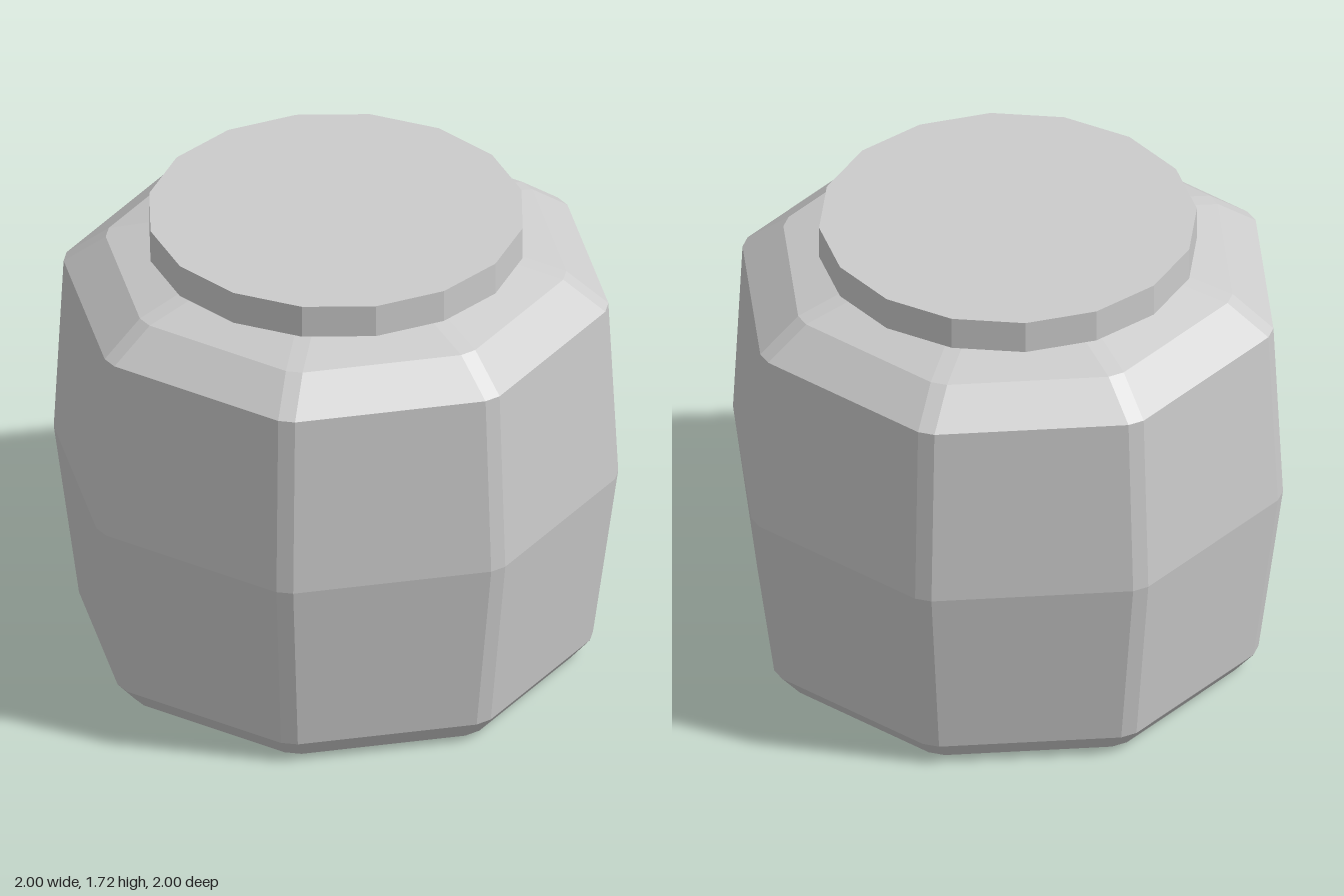
import * as THREE from 'three';

const material = new THREE.MeshStandardMaterial({ color: 0xcccccc, flatShading: true });

// Octagonal jar profile: [corner radius, height], bottom to top
const PROFILE = [[0.84, 0], [0.91, 0.08], [1, 0.75], [0.965, 1.43], [0.815, 1.545], [0.61, 1.6]];
const BEVEL = 0.03; // half width of the strip that cuts each corner

// Octagon ring with every corner split into two points
function ring([radius, y]) {
  const points = [];
  for (let k = 0; k < 8; k++) {
    const a = k * Math.PI / 4, c = Math.cos(a), s = Math.sin(a);
    for (const t of [-BEVEL, BEVEL]) points.push([radius * c - t * s, y, radius * s + t * c]);
  }
  return points;
}

function bodyGeometry() {
  const rings = PROFILE.map(ring);
  const n = rings[0].length;
  const positions = [];
  const tri = (...corners) => corners.forEach((p) => positions.push(...p));
  const bottom = rings[0], top = rings[rings.length - 1];
  for (let j = 0; j < n; j++) {
    const k = (j + 1) % n;
    // walls
    for (let i = 0; i < rings.length - 1; i++) {
      const lower = rings[i], upper = rings[i + 1];
      tri(lower[j], upper[j], lower[k]);
      tri(lower[k], upper[j], upper[k]);
    }
    // floor and top
    tri([0, bottom[0][1], 0], bottom[j], bottom[k]);
    tri([0, top[0][1], 0], top[k], top[j]);
  }
  const geometry = new THREE.BufferGeometry();
  geometry.setAttribute('position', new THREE.Float32BufferAttribute(positions, 3));
  geometry.computeVertexNormals();
  return geometry;
}

export function createModel() {
  const jar = new THREE.Group();
  jar.name = 'jar';

  const body = new THREE.Mesh(bodyGeometry(), material);
  body.name = 'body';

  // Flat sixteen-sided lid
  const lid = new THREE.Mesh(new THREE.CylinderGeometry(0.665, 0.665, 0.122, 16), material);
  lid.name = 'lid';
  lid.position.y = 1.661;

  jar.add(body, lid);
  return jar;
}
